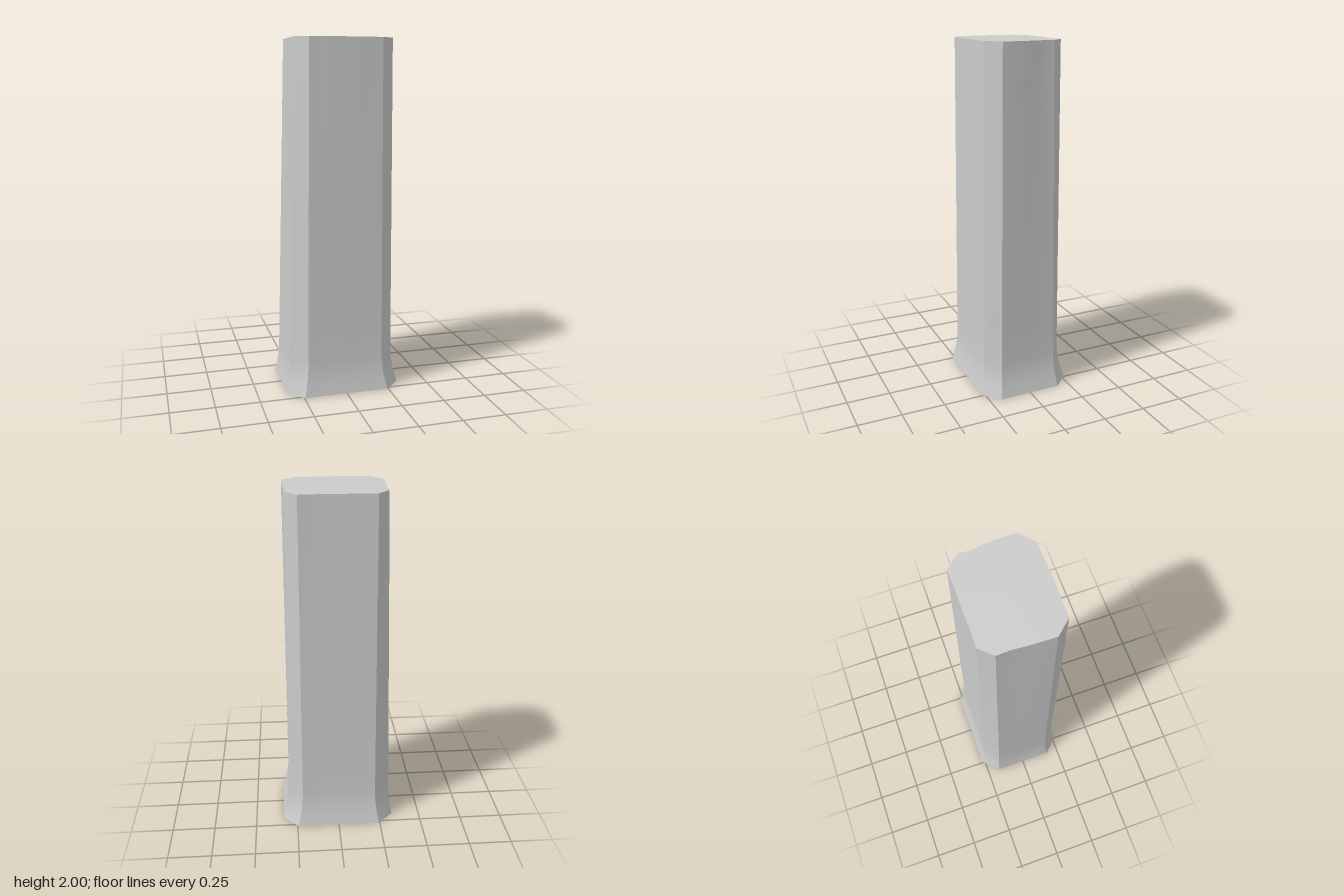
import * as THREE from 'three';
import { toCreasedNormals } from 'three/addons/utils/BufferGeometryUtils.js';

// Eight corners [x, z] of each cross-section, starting at the front right, counterclockwise from above
const base = [[-0.245, 0.267], [0.245, 0.267], [0.333, 0.18], [0.333, -0.18], [0.245, -0.267], [-0.245, -0.267], [-0.333, -0.18], [-0.333, 0.18]];
const foot = [[-0.22, 0.24], [0.215, 0.24], [0.296, 0.165], [0.296, -0.165], [0.215, -0.232], [-0.22, -0.235], [-0.31, -0.165], [-0.31, 0.16]];
const top = [[-0.202, 0.226], [0.21, 0.222], [0.288, 0.153], [0.275, -0.147], [0.21, -0.22], [-0.202, -0.217], [-0.265, -0.147], [-0.272, 0.147]];

// Slight unevenness of the four broad faces at the top, pushed outward, at quarter points
const wave = { 0: [0.002, 0.006, 0.002], 2: [0.003, 0.003, -0.006], 4: [-0.005, -0.002, -0.004], 6: [-0.005, -0.001, 0.0] };
const STEPS = 4;

// Subdivides an octagon and adds a share of the surface unevenness
function ring(corners, amount) {
  const points = [];
  corners.forEach((a, i) => {
    const b = corners[(i + 1) % 8];
    const dx = b[0] - a[0], dz = b[1] - a[1], length = Math.hypot(dx, dz);
    for (let s = 0; s < STEPS; s++) {
      const t = s / STEPS;
      const push = s > 0 && wave[i] ? wave[i][s - 1] * amount : 0;
      points.push([a[0] + dx * t - dz / length * push, a[1] + dz * t + dx / length * push]);
    }
  });
  return points;
}

const mix = (a, b, t) => a.map((p, i) => [p[0] + (b[i][0] - p[0]) * t, p[1] + (b[i][1] - p[1]) * t]);

export function createModel() {
  const model = new THREE.Group();
  model.name = 'pillar';
  const material = new THREE.MeshStandardMaterial({ color: 0xcccccc, side: THREE.DoubleSide });

  // Flared foot, then the gently tapering shaft
  const levels = [[0, ring(base, 0)], [0.05, ring(mix(base, foot, 0.38), 0)], [0.1, ring(mix(base, foot, 0.7), 0)],
    [0.15, ring(mix(base, foot, 0.9), 0.05)], [0.2, ring(foot, 0.1)]];
  for (let k = 1; k <= 8; k++) levels.push([0.2 + 1.8 * k / 8, ring(mix(foot, top, k / 8), 0.1 + 0.9 * k / 8)]);

  const count = 8 * STEPS, positions = [], index = [];
  levels.forEach(([y, points]) => points.forEach(([x, z]) => positions.push(x, y, z)));
  for (let j = 0; j < levels.length - 1; j++) {
    for (let i = 0; i < count; i++) {
      const a = j * count + i, b = j * count + (i + 1) % count;
      index.push(a, b, b + count, a, b + count, a + count);
    }
  }

  // Flat top; the underside stays open
  const centre = positions.length / 3, rim = centre - count;
  positions.push(0, 2, 0);
  for (let i = 0; i < count; i++) index.push(centre, rim + i, rim + (i + 1) % count);

  const geometry = new THREE.BufferGeometry();
  geometry.setAttribute('position', new THREE.Float32BufferAttribute(positions, 3));
  geometry.setIndex(index);
  const shell = new THREE.Mesh(toCreasedNormals(geometry, 0.5), material);
  shell.name = 'pillarShell';
  model.add(shell);
  return model;
}
